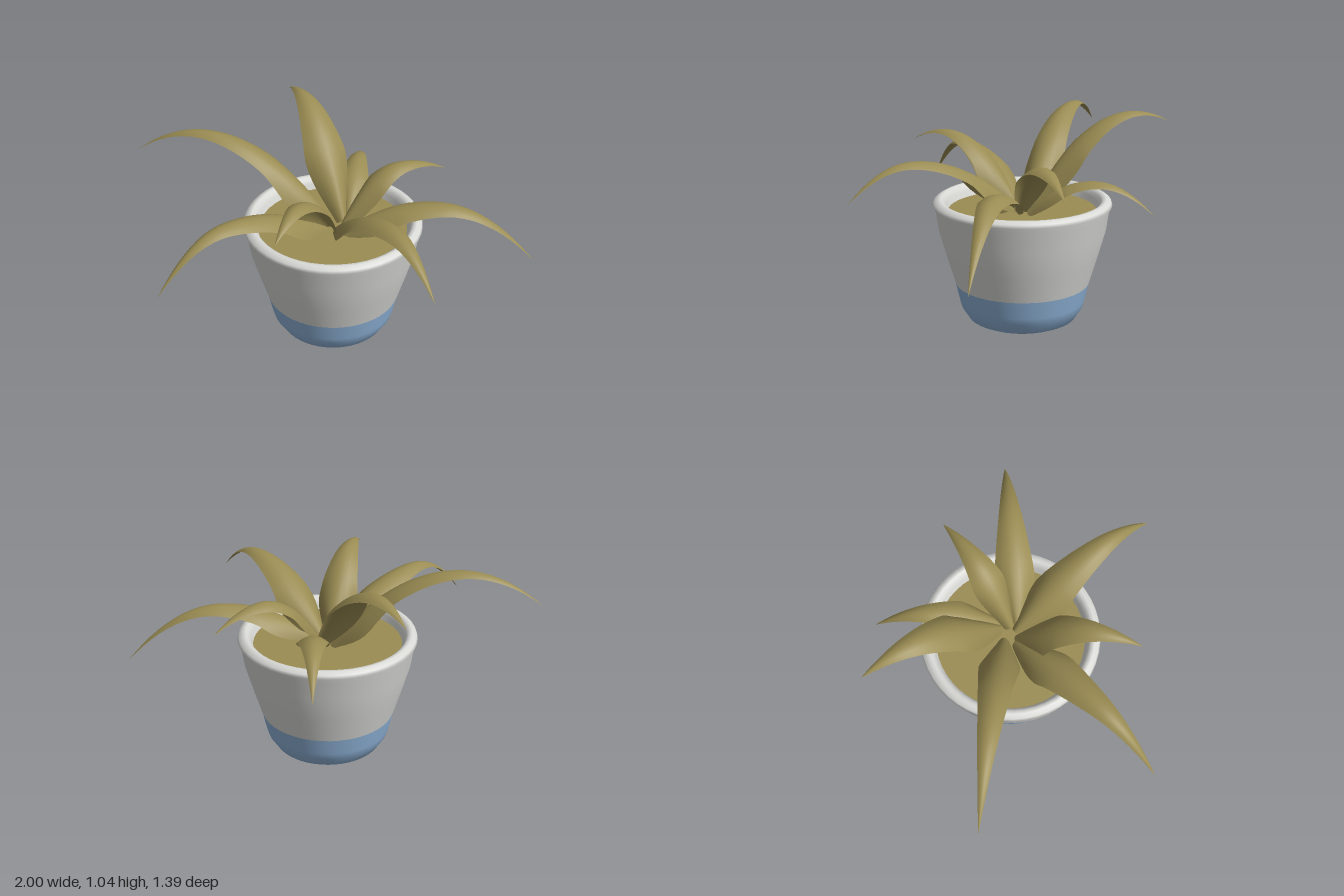
import * as THREE from 'three';

const material = (name, color, side = THREE.FrontSide) => {
  const m = new THREE.MeshStandardMaterial({ color, side });
  m.name = name;
  return m;
};

// Arched leaf: a strip whose edges droop, running from base to tip.
// base and tip are [x, y, z]; peakAt and wideAt are fractions of the plan length.
function leafGeometry({ base, tip, peak, peakAt, wide, wideAt }) {
  const ROWS = 28, COLS = 8;
  const dx = tip[0] - base[0], dz = tip[2] - base[2];
  const length = Math.hypot(dx, dz);
  const along = new THREE.Vector3(dx / length, 0, dz / length);
  const side = new THREE.Vector3(-along.z, 0, along.x);
  const up = new THREE.Vector3(0, 1, 0);
  const height = (s) => s < peakAt
    ? peak - (peak - base[1]) * (1 - s / peakAt) ** 2
    : peak - (peak - tip[1]) * ((s - peakAt) / (1 - peakAt)) ** 2;
  const halfWidth = (s) => s < wideAt
    ? THREE.MathUtils.lerp(0.03, wide, Math.sin((s / wideAt) * Math.PI / 2))
    : wide * ((1 - s) / (1 - wideAt)) ** 0.95;

  const positions = [], indices = [];
  for (let i = 0; i <= ROWS; i++) {
    const s = (i / ROWS) ** 1.2;
    const slope = (height(Math.min(1, s + 0.01)) - height(Math.max(0, s - 0.01))) / (0.02 * length);
    const normal = along.clone().multiplyScalar(-slope).add(up).normalize();
    const w = halfWidth(s);
    const curl = 0.45 + 0.6 * Math.max(0, 1 - s / 0.3);
    for (let j = 0; j <= COLS; j++) {
      const v = (j / COLS) * 2 - 1;
      const p = new THREE.Vector3(base[0] + dx * s, height(s), base[2] + dz * s)
        .addScaledVector(side, v * w)
        .addScaledVector(normal, -curl * w * v * v);
      positions.push(p.x, p.y, p.z);
      if (i < ROWS && j < COLS) {
        const a = i * (COLS + 1) + j, b = a + COLS + 1;
        indices.push(a, a + 1, b, b, a + 1, b + 1);
      }
    }
  }
  const g = new THREE.BufferGeometry();
  g.setAttribute('position', new THREE.Float32BufferAttribute(positions, 3));
  g.setIndex(indices);
  g.computeVertexNormals();
  return g;
}

export function createModel() {
  const model = new THREE.Group();
  model.name = 'pottedPlant';

  const white = material('glazedWhite', 0xd9d9d6);
  const blue = material('glazedBlue', 0x8fb3d8);
  const olive = material('oliveLeaf', 0x9a8c53, THREE.DoubleSide);

  const pot = new THREE.Group();
  pot.name = 'pot';
  pot.position.set(0.01, 0, -0.02);
  model.add(pot);

  const addLathe = (name, profile, mat) => {
    const points = profile.map(([r, y]) => new THREE.Vector2(r, y));
    const mesh = new THREE.Mesh(new THREE.LatheGeometry(points, 48), mat);
    mesh.name = name;
    pot.add(mesh);
  };

  // Blue dipped base of the pot
  addLathe('potBase', [[0, 0], [0.2, 0.002], [0.23, 0.006], [0.27, 0.025],
    [0.305, 0.08], [0.315, 0.115], [0.335, 0.205]], blue);

  // White wall, rounded rim and inner wall
  addLathe('potWall', [[0.335, 0.205], [0.375, 0.34], [0.414, 0.48], [0.428, 0.58],
    [0.442, 0.606], [0.436, 0.622], [0.415, 0.634], [0.4, 0.634], [0.385, 0.622],
    [0.376, 0.6], [0.36, 0.55]], white);

  // Soil disc
  const soil = new THREE.Mesh(new THREE.CircleGeometry(0.367, 48), olive);
  soil.name = 'soil';
  soil.rotation.x = -Math.PI / 2;
  soil.position.y = 0.572;
  pot.add(soil);

  // Leaves, going round the plant
  const leaves = [
    { base: [0.0, 0.59, -0.05], tip: [-1.0, 0.84, -0.2], peak: 1.0, peakAt: 0.63, wide: 0.1, wideAt: 0.15 },
    { base: [0.06, 0.59, -0.06], tip: [-0.31, 0.98, -0.7], peak: 1.045, peakAt: 0.72, wide: 0.11, wideAt: 0.28 },
    { base: [0.08, 0.59, -0.06], tip: [0.09, 0.6, -0.68], peak: 0.755, peakAt: 0.54, wide: 0.08, wideAt: 0.3 },
    { base: [0.05, 0.59, -0.01], tip: [0.54, 0.77, -0.33], peak: 0.865, peakAt: 0.55, wide: 0.085, wideAt: 0.3 },
    { base: [0.06, 0.59, 0.02], tip: [1.0, 0.47, -0.01], peak: 0.765, peakAt: 0.5, wide: 0.1, wideAt: 0.24 },
    { base: [0.03, 0.59, 0.0], tip: [0.545, 0.69, 0.69], peak: 0.87, peakAt: 0.63, wide: 0.11, wideAt: 0.22 },
    { base: [-0.02, 0.59, 0.0], tip: [-0.71, 0.56, 0.635], peak: 0.81, peakAt: 0.6, wide: 0.105, wideAt: 0.24 },
    { base: [0.0, 0.59, 0.0], tip: [-0.17, 0.86, 0.59], peak: 0.93, peakAt: 0.67, wide: 0.1, wideAt: 0.2 },
  ];
  const foliage = new THREE.Group();
  foliage.name = 'foliage';
  leaves.forEach((spec, i) => {
    const leaf = new THREE.Mesh(leafGeometry(spec), olive);
    leaf.name = `leaf${i + 1}`;
    foliage.add(leaf);
  });
  model.add(foliage);

  return model;
}
